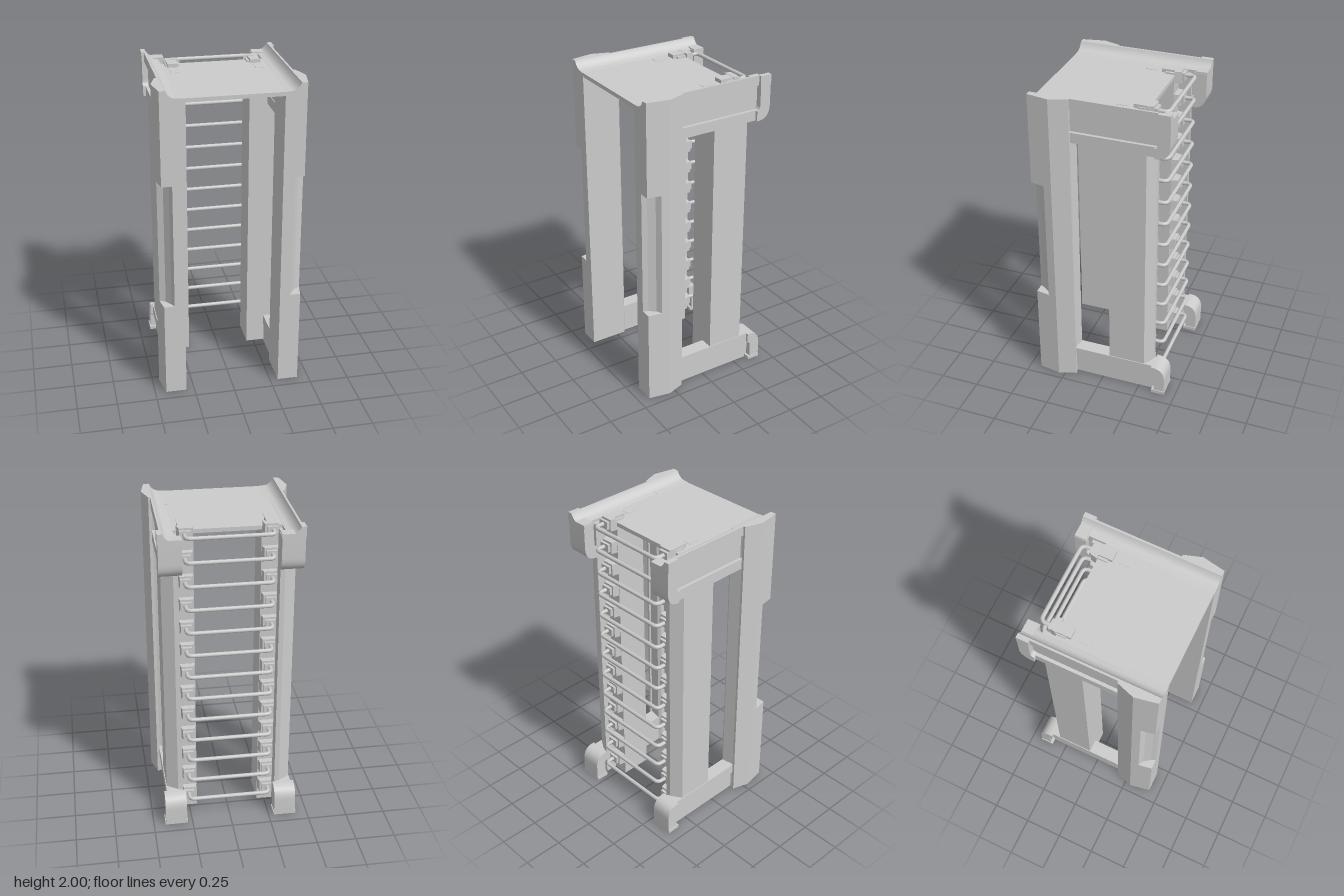
import * as THREE from 'three';
import { toCreasedNormals } from 'three/addons/utils/BufferGeometryUtils.js';

const material = new THREE.MeshStandardMaterial({ color: 0xcccccc });

function part(name, geometry) {
  const mesh = new THREE.Mesh(geometry, material);
  mesh.name = name;
  return mesh;
}

// Box given by its limits
function box(x0, x1, y0, y1, z0, z1) {
  return new THREE.BoxGeometry(x1 - x0, y1 - y0, z1 - z0)
    .translate((x0 + x1) / 2, (y0 + y1) / 2, (z0 + z1) / 2);
}

function extrude(shape, depth, steps = 1) {
  return new THREE.ExtrudeGeometry(shape, { depth, steps, bevelEnabled: false, curveSegments: 10 });
}

const outline = (points) => new THREE.Shape(points.map(([x, y]) => new THREE.Vector2(x, y)));

// Plan outline (x, z) raised from y0 to y1
function upright(plan, y0, y1) {
  return extrude(outline(plan.map(([x, z]) => [x, -z])), y1 - y0).rotateX(-Math.PI / 2).translate(0, y0, 0);
}

// Side outline (-z, y) spread from x0 to x1
function sideways(shape, x0, x1) {
  return toCreasedNormals(extrude(shape, x1 - x0).rotateY(Math.PI / 2).translate(x0, 0, 0), 0.5);
}

// Profile with a hollow-curved top, run along z
function curvedTop(xIn, xOut, bottom, z0, z1, steps = 1) {
  const s = new THREE.Shape();
  s.moveTo(xIn, bottom);
  s.lineTo(xOut, bottom);
  s.lineTo(xOut, 2);
  s.lineTo(0.395, 2);
  s.quadraticCurveTo(0.375, 1.955, 0.335, 1.953);
  s.lineTo(xIn, 1.95);
  return extrude(s, z1 - z0, steps).translate(0, 0, z0);
}

// Band along a rail that bends round the rear corner; dir +1 bends up, -1 down
function bentBand(start, edge, end, dir) {
  const s = new THREE.Shape();
  s.moveTo(start, edge);
  s.lineTo(0.345, edge);
  s.quadraticCurveTo(0.43, edge, 0.43, edge + 0.09 * dir);
  s.lineTo(0.43, end);
  s.lineTo(0.36, end);
  s.lineTo(0.36, edge + 0.1 * dir);
  s.quadraticCurveTo(0.36, edge + 0.065 * dir, 0.335, edge + 0.065 * dir);
  s.lineTo(start, edge + 0.065 * dir);
  return s;
}

// Mirror a geometry in x and keep its faces outward
function mirrored(geometry) {
  const g = geometry.index ? geometry.toNonIndexed() : geometry.clone();
  g.scale(-1, 1, 1);
  for (const a of Object.values(g.attributes)) {
    const n = a.itemSize;
    for (let i = 0; i < a.count; i += 3) {
      for (let k = 0; k < n; k++) {
        const p = (i + 1) * n + k, q = (i + 2) * n + k;
        [a.array[p], a.array[q]] = [a.array[q], a.array[p]];
      }
    }
  }
  return g;
}

function frontPost() {
  const back = [[0.456, 0.29], [0.42, 0.18], [0.405, 0.18], [0.4, 0.19], [0.32, 0.175], [0.3, 0.19]];
  const full = [[0.3, 0.43], [0.43, 0.43], ...back];
  const notched = [[0.3, 0.43], [0.365, 0.43], [0.38, 0.4], [0.41, 0.36], [0.446, 0.342], ...back];
  // Cap: outer edge follows the ridged plan of the post
  const cap = curvedTop(0.3, 0.456, 1.94, 0.18, 0.43, 2);
  const p = cap.attributes.position;
  for (let i = 0; i < p.count; i++) {
    const z = p.getZ(i);
    if (p.getX(i) > 0.45) p.setX(i, z < 0.2 ? 0.42 : z > 0.4 ? 0.43 : 0.456);
    if (z > 0.2 && z < 0.4) p.setZ(i, 0.29);
  }
  cap.computeVertexNormals();
  return [
    part('postLower', upright(full, 0, 0.62)),
    part('postNotch', upright(notched, 0.62, 1.42)),
    part('postUpper', upright(full, 1.42, 1.94)),
    part('postCap', cap),
  ];
}

function rails() {
  return [
    // Upper rail
    part('upperRailPanel', box(0.32, 0.385, 1.74, 1.95, -0.38, 0.19)),
    part('upperRailBand', sideways(bentBand(-0.19, 1.72, 1.96, 1), 0.315, 0.405)),
    part('upperRailHook', sideways(bentBand(0.34, 1.72, 1.96, 1), 0.285, 0.422)),
    part('upperRailTop', curvedTop(0.32, 0.408, 1.94, -0.43, 0.19)),
    part('upperRailEnd', curvedTop(0.282, 0.425, 1.94, -0.43, -0.355)),
    // Lower rail
    part('lowerRailPanel', box(0.32, 0.385, 0, 0.16, -0.38, 0.19)),
    part('lowerRailBand', sideways(bentBand(-0.19, 0.2, 0, -1), 0.315, 0.405)),
    part('lowerRailHook', sideways(bentBand(0.34, 0.2, 0, -1), 0.285, 0.422)),
    part('rearFoot', box(0.28, 0.427, 0, 0.022, -0.43, -0.345)),
  ];
}

// Rear column with a channel for the rung brackets
function rearColumn() {
  const inner = [[0.2, -0.05], [0.32, -0.05], [0.32, -0.33], [0.3, -0.33], [0.3, -0.25], [0.2, -0.25]];
  const outer = [[0.32, -0.05], [0.4, -0.05], [0.4, -0.285], [0.33, -0.33], [0.32, -0.33]];
  return [
    part('columnInner', upright(inner, 0.01, 1.93)),
    part('columnOuter', upright(outer, 0.19, 1.73)),
  ];
}

function bracket(y) {
  const plate = box(0.202, 0.298, y - 0.04, y + 0.035, -0.29, -0.25);
  const p = plate.attributes.position;
  for (let i = 0; i < p.count; i++) {
    if (p.getZ(i) < -0.27) p.setX(i, 0.25 + (p.getX(i) - 0.25) * 0.8);
  }
  plate.computeVertexNormals();
  return [
    part('bracketPlate', plate),
    part('bracketCollar', box(0.222, 0.288, y - 0.028, y + 0.022, -0.308, -0.288)),
  ];
}

// Rung: bar with both ends turned forward into the brackets
function rung(y) {
  const v = (x, z) => new THREE.Vector3(x, y, z);
  const path = new THREE.CurvePath();
  path.add(new THREE.LineCurve3(v(-0.258, -0.295), v(-0.258, -0.335)));
  path.add(new THREE.QuadraticBezierCurve3(v(-0.258, -0.335), v(-0.258, -0.368), v(-0.225, -0.368)));
  path.add(new THREE.LineCurve3(v(-0.225, -0.368), v(0.225, -0.368)));
  path.add(new THREE.QuadraticBezierCurve3(v(0.225, -0.368), v(0.258, -0.368), v(0.258, -0.335)));
  path.add(new THREE.LineCurve3(v(0.258, -0.335), v(0.258, -0.295)));
  return part('rung', new THREE.TubeGeometry(path, 60, 0.013, 8));
}

export function createModel() {
  const model = new THREE.Group();
  model.name = 'ladderTower';

  const left = new THREE.Group();
  left.name = 'leftSide';
  left.add(...frontPost(), ...rails(), ...rearColumn());

  // Rungs and their brackets
  const rungs = new THREE.Group();
  rungs.name = 'rungs';
  for (let i = 0; i < 13; i++) {
    const y = 0.14 + i * 0.15;
    rungs.add(rung(y));
    left.add(...bracket(y));
  }

  // Clip over the roof edge and small cover in front of it
  left.add(part('roofClip', box(0.228, 0.29, 1.94, 1.973, -0.27, -0.165)));
  left.add(part('roofClipSide', box(0.212, 0.298, 1.94, 1.96, -0.26, -0.19)));
  left.add(part('roofCover', box(0.24, 0.284, 1.94, 1.952, -0.13, -0.05)));

  const right = new THREE.Group();
  right.name = 'rightSide';
  for (const m of left.children) right.add(part(m.name, mirrored(m.geometry)));

  const roof = part('roof', box(-0.325, 0.325, 1.925, 1.95, -0.25, 0.428));
  model.add(left, right, rungs, roof);
  return model;
}
